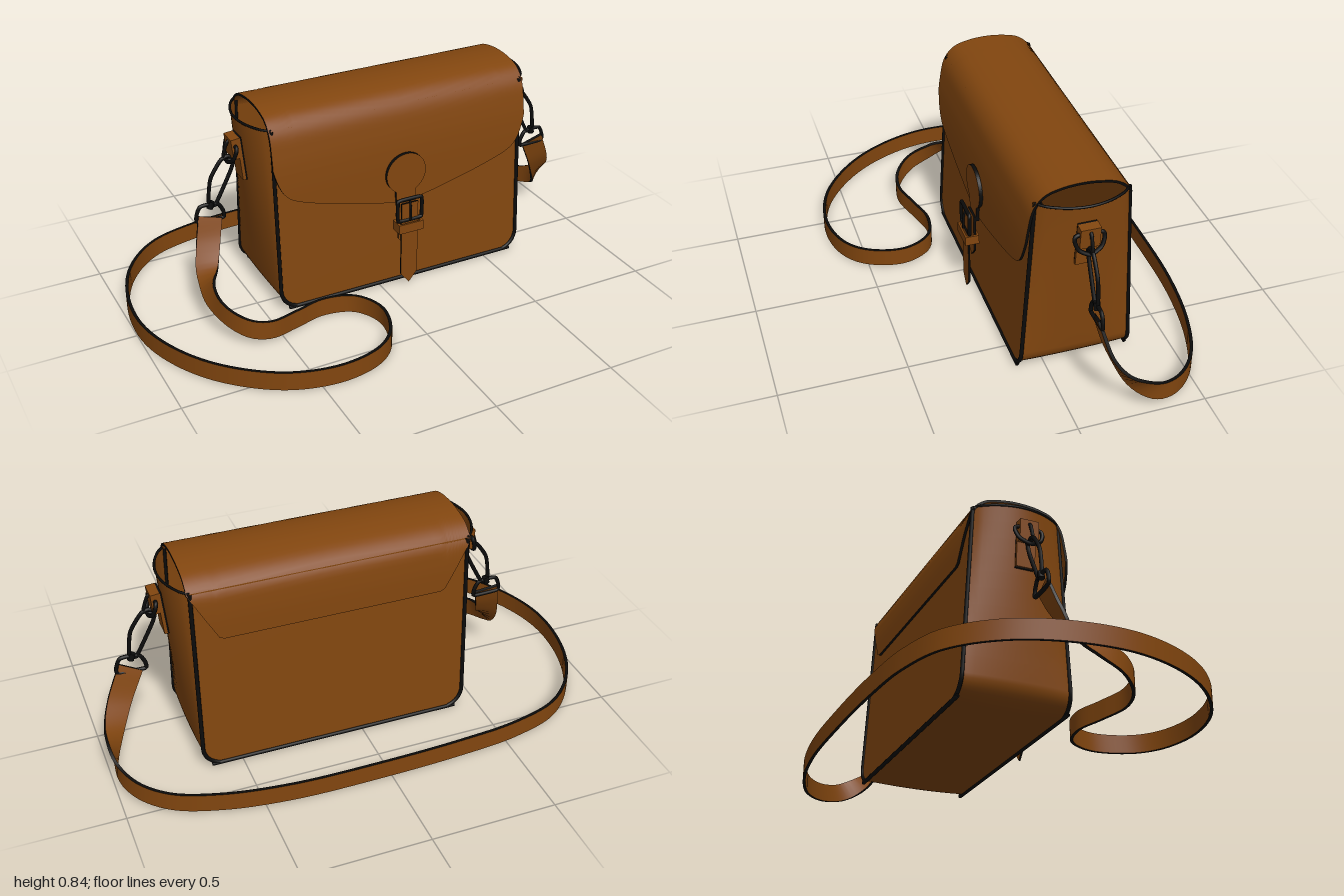
import * as THREE from 'three';

const CX = 0.11, MIDZ = -0.11, TOP = 0.78;
const V = (x, y, z) => new THREE.Vector3(x, y, z);

const mat = (name, color) => {
  const m = new THREE.MeshStandardMaterial({ color, side: THREE.DoubleSide });
  m.name = name;
  return m;
};

// grid surface from a rule f(u, v) -> Vector3
function sheet(nu, nv, f) {
  const pos = [], idx = [];
  for (let i = 0; i <= nu; i++)
    for (let j = 0; j <= nv; j++) pos.push(...f(i / nu, j / nv).toArray());
  for (let i = 0; i < nu; i++)
    for (let j = 0; j < nv; j++) {
      const a = i * (nv + 1) + j, b = a + nv + 1;
      idx.push(a, b, a + 1, b, b + 1, a + 1);
    }
  const g = new THREE.BufferGeometry();
  g.setAttribute('position', new THREE.Float32BufferAttribute(pos, 3));
  g.setIndex(idx);
  g.computeVertexNormals();
  return g;
}

function tube(points, r, closed = false, tension = 0.35) {
  const c = new THREE.CatmullRomCurve3(points, closed, 'catmullrom', tension);
  return new THREE.TubeGeometry(c, Math.max(24, points.length * 6), r, 8, closed);
}

export function createModel() {
  const root = new THREE.Group();
  root.name = 'shoulderBag';
  const leather = mat('brown leather', 0x82460f);
  const black = mat('black metal and edging', 0x0b0b0b);

  const add = (name, geo, m, parent = root) => {
    const mesh = new THREE.Mesh(geo, m);
    mesh.name = name;
    parent.add(mesh);
    return mesh;
  };

  // leather sheet with thickness: f(u, v, side), painted edges all round
  function thick(name, nu, nv, f) {
    const g = new THREE.Group();
    g.name = name;
    root.add(g);
    for (const s of [0, 1]) {
      add(name + 'Face', sheet(nu, nv, (u, v) => f(u, v, s)), leather, g);
      add(name + 'LongEdge', sheet(nu, 1, (u, v) => f(u, s, v)), black, g);
      add(name + 'EndEdge', sheet(1, nv, (u, v) => f(s, v, u)), black, g);
    }
  }

  // ---- Body: two panels joined by a U-shaped bulging gusset ----
  const HW = 0.545, R = 0.08, Y0 = 0.015;
  const outline = [];
  for (let i = 0; i <= 10; i++) outline.push([-HW, TOP + (Y0 + R - TOP) * i / 10]);
  for (let i = 1; i <= 8; i++) {
    const a = i / 8 * Math.PI / 2;
    outline.push([-HW + R - R * Math.cos(a), Y0 + R - R * Math.sin(a)]);
  }
  for (let i = outline.length - 1; i >= 0; i--) outline.push([-outline[i][0], outline[i][1]]);
  const zFront = y => 0.105 - 0.045 * y / TOP;
  const zBack = y => -0.335 + 0.04 * y / TOP;

  const gusset = (u, v) => {
    const [x, y] = outline[Math.round(u * (outline.length - 1))];
    const bulge = Math.pow(Math.max(0, Math.sin(Math.PI * v)), 0.7);
    const side = Math.min(1, Math.max(0, (Math.abs(x) - HW + R) / R));
    return V(CX + x + Math.sign(x) * side * bulge * 0.075 * y / TOP,
      y - (1 - side) * 0.01 * bulge, zFront(y) + (zBack(y) - zFront(y)) * v);
  };
  add('gusset', sheet(outline.length - 1, 20, gusset), leather);

  for (const [name, z] of [['front', zFront], ['back', zBack]]) {
    const panel = new THREE.ShapeGeometry(new THREE.Shape(outline.map(p => new THREE.Vector2(...p))));
    const p = panel.attributes.position;
    for (let i = 0; i < p.count; i++) p.setXYZ(i, p.getX(i) + CX, p.getY(i), z(p.getY(i)));
    panel.computeVertexNormals();
    add(name + 'Panel', panel, leather);
    add(name + 'Piping', tube(outline.map(([x, y]) => V(CX + x, y, z(y))), 0.008), black);
  }
  for (const u of [0, 1]) {
    const rim = Array.from({ length: 13 }, (_, i) => gusset(u, i / 12));
    add('gussetTopEdge', tube(rim, 0.005), black);
  }

  // ---- Flap: one profile wrapped over the top, trimmed by its edge lines ----
  const profile = new THREE.CatmullRomCurve3([
    [-0.318, 0.56], [-0.312, 0.7], [-0.299, 0.77], [-0.25, 0.815], [-0.18, 0.834], [-0.105, 0.84],
    [-0.03, 0.833], [0.03, 0.812], [0.069, 0.765], [0.089, 0.68], [0.1, 0.58], [0.108, 0.36],
  ].map(([z, y]) => V(0, y, z))).getSpacedPoints(800);
  const lastIndex = y => { let i = 800; while (profile[i].y < y) i--; return i; };
  thick('flap', 60, 44, (u, v, s) => {
    const w = Math.sin((u - 0.5) * Math.PI), d = Math.abs(w);
    const a = profile.findIndex(p => p.y >= 0.575 + Math.max(0, d - 0.8) * 1.0);
    const b = lastIndex(0.37 + 0.14 * Math.pow(d, 1.3) + 0.12 * Math.pow(d, 20));
    const k = Math.round(a + (b - a) * v), p = profile[k];
    const t = profile[Math.min(800, k + 1)].clone().sub(profile[Math.max(0, k - 1)]).normalize();
    return V(CX + w * 0.5575, p.y - s * 0.01 * t.z, p.z + s * 0.01 * t.y);
  });

  // ---- Closure: round patch, hanging tab, keeper and buckle ----
  const extrude = (name, shape, depth, z) => {
    const g = new THREE.ExtrudeGeometry(shape, { depth, bevelEnabled: false, curveSegments: 32 });
    g.translate(CX, 0, z);
    return add(name, g, [leather, black]);
  };
  const patch = new THREE.Shape();
  patch.moveTo(-0.04, 0.36);
  patch.lineTo(0.04, 0.36);
  patch.lineTo(0.045, 0.428);
  patch.absarc(0, 0.502, 0.087, -1.02, Math.PI + 1.02, false);
  extrude('roundPatch', patch, 0.014, 0.105);

  const tab = (top, tip) => new THREE.Shape([[-0.037, top], [-0.037, tip + 0.045], [0, tip],
    [0.037, tip + 0.045], [0.037, top]].map(p => new THREE.Vector2(...p)));
  extrude('innerTab', tab(0.38, 0.17), 0.009, 0.119);
  extrude('hangingTab', tab(0.385, 0.015), 0.008, 0.144);

  const keeper = new THREE.Shape([[-0.055, 0.111], [0.055, 0.111], [0.055, 0.168], [-0.055, 0.168]]
    .map(p => new THREE.Vector2(...p)));
  keeper.holes.push(new THREE.Path([[-0.045, 0.119], [-0.045, 0.16], [0.045, 0.16], [0.045, 0.119]]
    .map(p => new THREE.Vector2(...p))));
  const kg = new THREE.ExtrudeGeometry(keeper, { depth: 0.04, bevelEnabled: false });
  kg.rotateX(-Math.PI / 2).scale(1, 1, -1);
  kg.index ? kg.index.array.reverse() : null;
  kg.scale(1, 1, 1).translate(CX, 0.26, 0);
  kg.computeVertexNormals();
  add('keeperLoop', kg, leather);

  const frame = [[-0.045, 0.31], [0.045, 0.31], [0.054, 0.32], [0.054, 0.39], [0.045, 0.403],
    [-0.045, 0.403], [-0.054, 0.39], [-0.054, 0.32]];
  add('buckleFrame', tube(frame.map(([x, y]) => V(CX + x, y, 0.15)), 0.008, true), black);
  add('buckleProng', tube([V(CX, 0.4, 0.15), V(CX, 0.36, 0.159), V(CX, 0.31, 0.16)], 0.005), black);

  // ---- Side hardware, mirrored about the bag's middle ----
  for (const s of [1, -1]) {
    const side = new THREE.Group();
    side.name = s > 0 ? 'leftHardware' : 'rightHardware';
    root.add(side);
    const loop = (name, pts, r) =>
      add(name, tube(pts.map(([x, y, z = 0]) => V(CX + s * x, y, MIDZ + z)), r, true), black, side);
    const box = (name, w, h, d, x, y, m) => {
      const b = add(name, new THREE.BoxGeometry(w, h, d), m, side);
      b.position.set(CX + s * x, y, MIDZ);
      b.rotation.z = -s * 0.096;
    };
    box('ringTabBacking', 0.012, 0.185, 0.072, 0.611, 0.62, black);
    box('ringTab', 0.012, 0.18, 0.076, 0.617, 0.62, leather);
    box('ringTabFold', 0.036, 0.085, 0.076, 0.635, 0.668, leather);
    loop('dRing', [[0.64, 0.68, -0.045], [0.64, 0.68, 0.045], [0.645, 0.66, 0.056], [0.655, 0.625, 0.042],
      [0.663, 0.605, 0], [0.655, 0.625, -0.042], [0.645, 0.66, -0.056]], 0.008);
    loop('hookEye', [[0.63, 0.62], [0.628, 0.66], [0.642, 0.692], [0.66, 0.685], [0.678, 0.63], [0.66, 0.61]], 0.007);
    loop('snapHook', [[0.637, 0.61], [0.66, 0.628], [0.69, 0.615], [0.735, 0.545], [0.748, 0.45],
      [0.735, 0.43], [0.718, 0.435], [0.65, 0.565]], 0.008);
    const swivel = add('swivel', new THREE.CylinderGeometry(0.013, 0.013, 0.03, 12), black, side);
    swivel.position.set(CX + s * 0.741, 0.434, MIDZ);
    swivel.rotation.z = s * 0.3;
    loop('strapRing', [[0.803, 0.38], [0.8, 0.405], [0.782, 0.436], [0.715, 0.434], [0.692, 0.4],
      [0.688, 0.372], [0.7, 0.367], [0.79, 0.37]], 0.008);
  }

  // ---- Strap: ribbon that twists from flat at the rings to standing on edge ----
  const path = new THREE.CatmullRomCurve3([
    [-0.638, 0.385, -0.105], [-0.665, 0.29, -0.07], [-0.698, 0.19, -0.01], [-0.717, 0.145, 0.07],
    [-0.695, 0.11, 0.18], [-0.63, 0.075, 0.25], [-0.55, 0.055, 0.265], [-0.43, 0.045, 0.23],
    [-0.3, 0.045, 0.2], [-0.18, 0.045, 0.235], [-0.122, 0.045, 0.35], [-0.16, 0.045, 0.5],
    [-0.25, 0.045, 0.585], [-0.42, 0.045, 0.622], [-0.62, 0.045, 0.575], [-0.81, 0.045, 0.43],
    [-0.93, 0.045, 0.25], [-0.99, 0.045, 0.04], [-0.97, 0.045, -0.2], [-0.89, 0.045, -0.39],
    [-0.75, 0.045, -0.53], [-0.55, 0.045, -0.595], [-0.3, 0.045, -0.62], [0.05, 0.045, -0.63],
    [0.4, 0.045, -0.622], [0.66, 0.045, -0.58], [0.84, 0.047, -0.51], [0.945, 0.06, -0.41],
    [0.985, 0.09, -0.31], [0.968, 0.155, -0.21], [0.925, 0.25, -0.145], [0.858, 0.385, -0.108],
  ].map(p => V(...p)), false, 'centripetal');
  const N = 260, pts = path.getSpacedPoints(N);
  const ease = x => THREE.MathUtils.smoothstep(x, 0, 1);
  thick('strap', N, 1, (u, v, s) => {
    const i = Math.round(u * N);
    const t = pts[Math.min(N, i + 1)].clone().sub(pts[Math.max(0, i - 1)]).normalize();
    const k = ease(Math.min(u, 1 - u) / 0.09);
    const w = V(1, u < 0.5 ? 0.2 : -0.2, 0).lerp(V(0, 1, 0), k);
    w.addScaledVector(t, -w.dot(t)).normalize();
    const n = t.clone().cross(w);
    return pts[i].clone().addScaledVector(w, (v - 0.5) * (0.095 - 0.02 * k)).addScaledVector(n, (s - 0.5) * 0.012);
  });

  return root;
}
